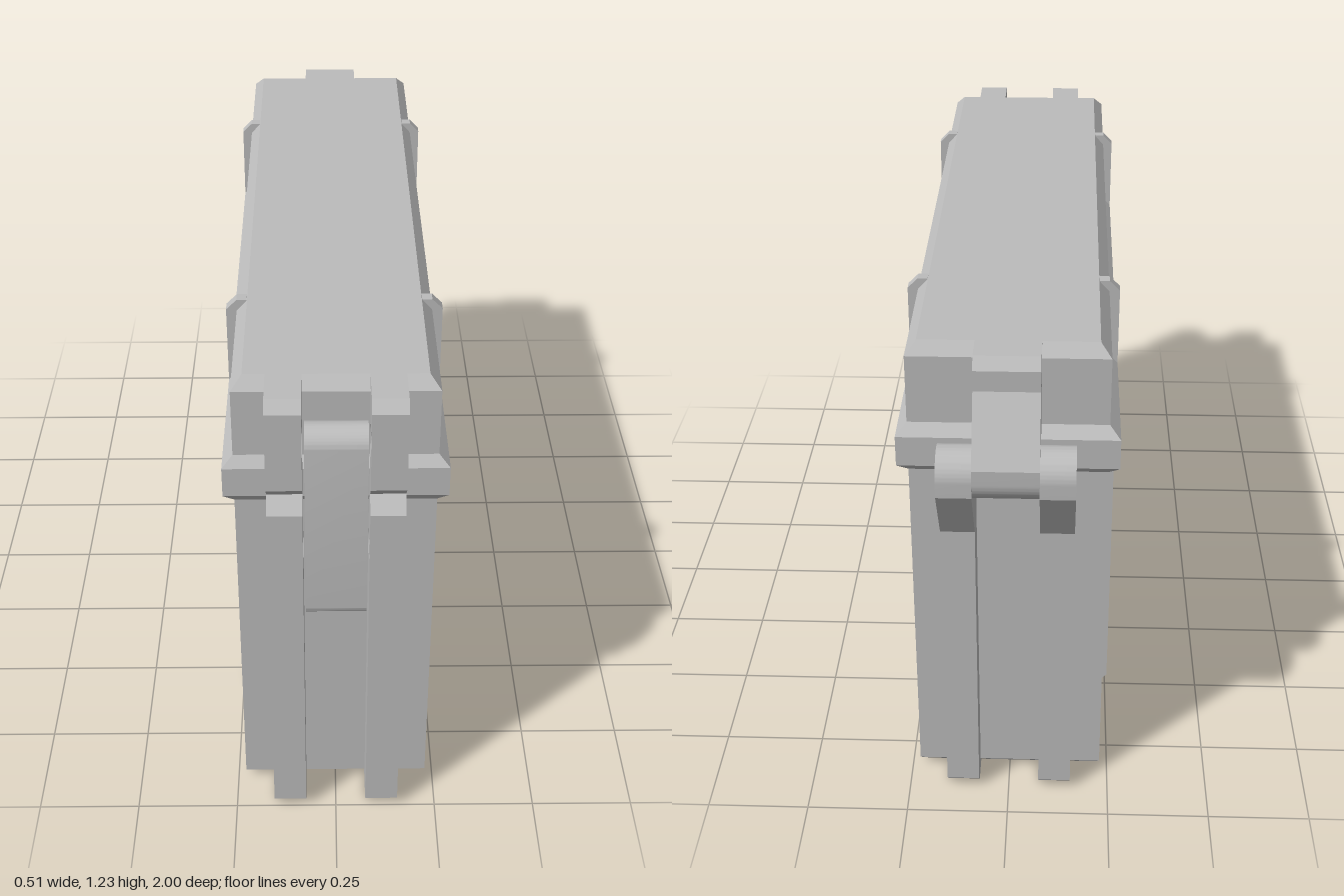
import * as THREE from 'three';
import { toCreasedNormals } from 'three/addons/utils/BufferGeometryUtils.js';

const caseGrey = new THREE.MeshStandardMaterial({ color: 0xbcbcbc });
caseGrey.name = 'caseGrey';

// Stack of rectangles [y, halfWidth, zBack, zFront] joined into a closed flat-faced solid
function stackGeometry(levels) {
  const pos = [];
  const rings = levels.map(([y, x, b, f]) => [[-x, y, f], [x, y, f], [x, y, b], [-x, y, b]]);
  const quad = (a, b, c, d) => [a, b, c, a, c, d].forEach((p) => pos.push(...p));
  for (let i = 0; i < rings.length - 1; i++) {
    const lo = rings[i], hi = rings[i + 1];
    for (let k = 0; k < 4; k++) {
      const n = (k + 1) % 4;
      quad(lo[k], lo[n], hi[n], hi[k]);
    }
  }
  const first = rings[0], last = rings[rings.length - 1];
  quad(first[3], first[2], first[1], first[0]);
  quad(last[0], last[1], last[2], last[3]);
  const geo = new THREE.BufferGeometry();
  geo.setAttribute('position', new THREE.Float32BufferAttribute(pos, 3));
  geo.computeVertexNormals();
  return geo;
}

// Side profile drawn in (z, y), extruded from x0 to x1
function sideExtrude(shape, x0, x1) {
  const geo = new THREE.ExtrudeGeometry(shape, { depth: x1 - x0, bevelEnabled: false, curveSegments: 20 });
  geo.rotateY(-Math.PI / 2).translate(x1, 0, 0);
  return toCreasedNormals(geo, 0.5);
}

const polygon = (points) => new THREE.Shape(points.map(([z, y]) => new THREE.Vector2(z, y)));

function addHole(shape, z, y, r) {
  shape.holes.push(new THREE.Path().absarc(z, y, r, 0, Math.PI * 2, true));
  return shape;
}

export function createModel() {
  const model = new THREE.Group();
  model.name = 'hingedCase';
  const add = (name, geo) => {
    const mesh = new THREE.Mesh(geo, caseGrey);
    mesh.name = name;
    model.add(mesh);
  };

  // Box and lid, each carrying its half of the chamfered flange
  const cap = [0.205, -0.812, 0.877], wall = [0.23, -0.84, 0.905], flange = [0.255, -0.867, 0.925];
  add('caseBase', stackGeometry([[0, ...cap], [0.028, ...wall], [0.905, ...wall], [0.93, ...flange], [0.965, ...flange]]));
  add('caseLid', stackGeometry([[0.965, ...flange], [1.005, ...flange], [1.03, ...wall], [1.197, ...wall], [1.225, ...cap]]));

  // Pins: front pair through the latch, rear one through the hinge
  const hinge = [-0.94, 0.965], upperPin = [0.953, 1.1], lowerPin = [0.953, 0.815];
  const boreRadius = 0.037, pinHole = 0.02;

  // Front ribs, split by a V groove at the seam
  const baseRib = addHole(polygon([[0.877, 0], [0.975, 0], [1, 0.025], [1, 0.93], [0.965, 0.965], [0.877, 0.965]]), ...lowerPin, boreRadius);
  const lidRib = addHole(polygon([[0.877, 0.965], [0.965, 0.965], [1, 1], [1, 1.2], [0.975, 1.225], [0.877, 1.225]]), ...upperPin, boreRadius);

  // Rear base rib flaring out to the hinge barrel
  const arm = polygon([[-0.812, 0], [-0.885, 0], [-0.91, 0.025], [-0.91, 0.78], [-1, 0.93]]);
  arm.absarc(...hinge, 0.06, Math.PI, 0, true);
  arm.lineTo(-0.812, 0.965);
  addHole(arm, ...hinge, boreRadius);

  // Rear lid tab wrapping under the hinge barrel
  const tab = polygon([[-0.812, 1.225], [-0.885, 1.225], [-0.91, 1.2], [-0.91, 1.15], [-1, 1]]);
  tab.absarc(...hinge, 0.06, Math.PI, Math.PI * 2, false);
  tab.lineTo(-0.812, 0.965);
  addHole(tab, ...hinge, pinHole);
  add('lidHingeTab', sideExtrude(tab, -0.075, 0.075));

  // Latch lever, rounded at both ends
  const latch = new THREE.Shape();
  latch.moveTo(0.908, 1.1);
  latch.absarc(0.953, 1.1, 0.045, Math.PI, 0, true);
  latch.lineTo(0.998, 0.66);
  latch.absarc(0.978, 0.66, 0.02, 0, -Math.PI / 2, true);
  latch.lineTo(0.955, 0.65);
  latch.lineTo(0.93, 0.76);
  latch.lineTo(0.908, 0.79);
  addHole(addHole(latch, ...upperPin, pinHole), ...lowerPin, pinHole);
  add('latch', sideExtrude(latch, -0.07, 0.07));

  for (const side of [-1, 1]) {
    const word = side > 0 ? 'left' : 'right';
    const span = (a, b) => (side > 0 ? [a, b] : [-b, -a]);

    add(`${word}FrontBaseRib`, sideExtrude(baseRib, ...span(0.075, 0.155)));
    add(`${word}FrontLidRib`, sideExtrude(lidRib, ...span(0.075, 0.155)));
    add(`${word}HingeArm`, sideExtrude(arm, ...span(0.075, 0.155)));

    // Hollow pins recessed in their bores
    for (const [name, pin] of [['HingePin', hinge], ['UpperLatchPin', upperPin], ['LowerLatchPin', lowerPin]]) {
      const ring = new THREE.Shape().absarc(...pin, boreRadius, 0, Math.PI * 2, false);
      add(word + name, sideExtrude(addHole(ring, ...pin, pinHole), ...span(0.076, 0.143)));
    }

    // Vertical reinforcing ribs on the side walls
    for (const [name, z] of [['FrontSideRib', 0.543], ['RearSideRib', -0.479]]) {
      const s = side;
      const rib = new THREE.Shape([[0.206, 0], [0.23, 0], [0.255, 0.025], [0.255, 1.2], [0.23, 1.225], [0.206, 1.225]]
        .map(([x, y]) => new THREE.Vector2(s * x, y)));
      const geo = new THREE.ExtrudeGeometry(rib, { depth: 0.028, bevelEnabled: false });
      add(word + name, geo.translate(0, 0, z - 0.014));
    }
  }
  return model;
}
